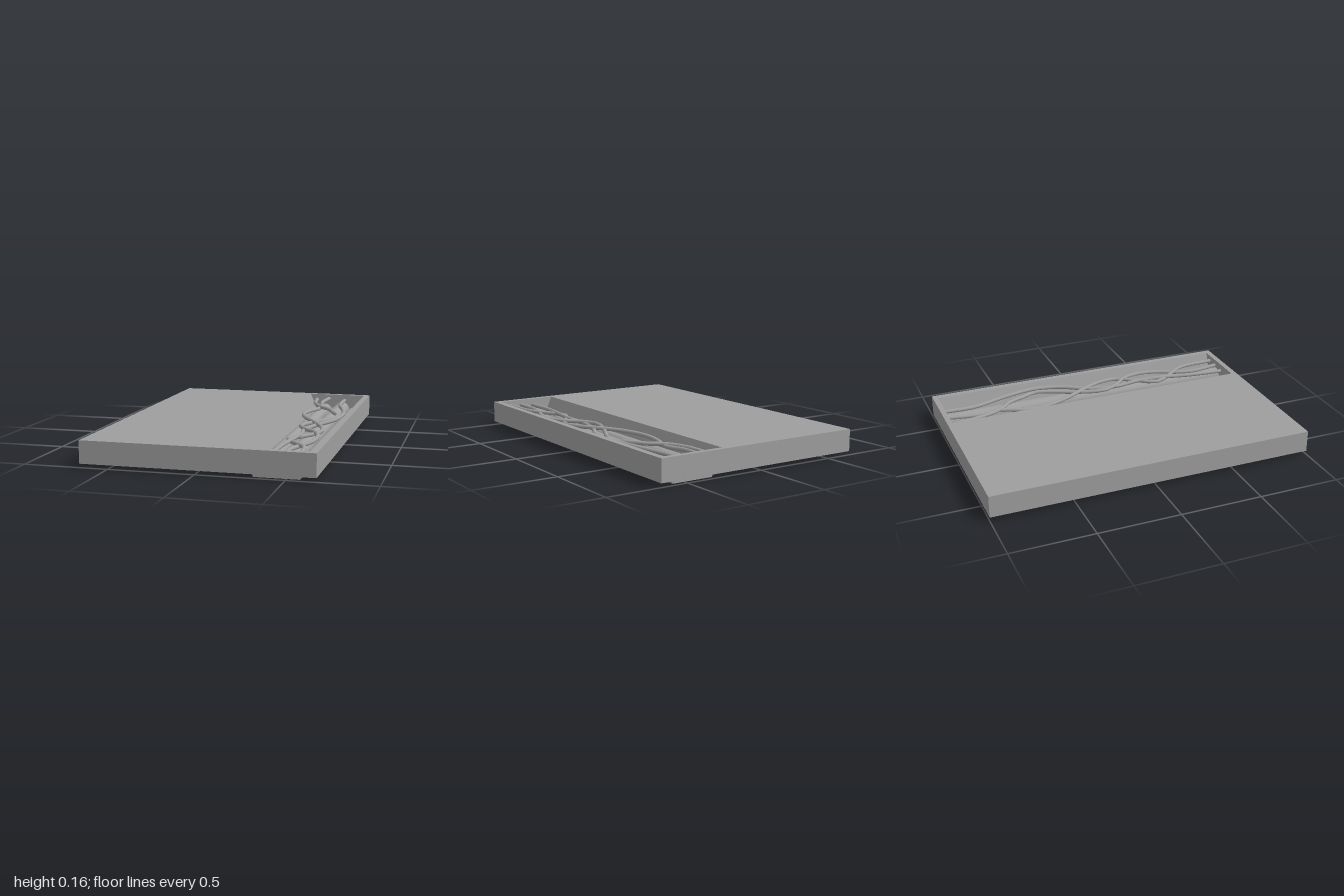
import * as THREE from 'three';

const material = new THREE.MeshStandardMaterial({ color: 0x9e9e9e, side: THREE.DoubleSide });

const TOP = 0.155, RIM = 0.0225, HALF_X = 0.667;
const BACK = -0.968, FRONT = 0.966;            // ends of the trough
const OPEN = [0.253, 0.63], FLOOR = [0.317, 0.573]; // trough width at the top and at the floor

function add(group, name, geometry) {
  const mesh = new THREE.Mesh(geometry, material);
  mesh.name = name;
  group.add(mesh);
  return mesh;
}

// Box without some of its faces (0 +x, 1 -x, 2 +y, 3 -y, 4 +z, 5 -z)
function openBox(w, h, d, removed) {
  const geometry = new THREE.BoxGeometry(w, h, d);
  const index = Array.from(geometry.index.array);
  geometry.setIndex(index.filter((_, i) => !removed.includes(Math.floor(i / 6))));
  geometry.clearGroups();
  return geometry;
}

// Flat top with the long slot cut out of it
function topGeometry() {
  const rect = (path, x0, x1, z0, z1) => path.moveTo(x0, -z1).lineTo(x1, -z1).lineTo(x1, -z0).lineTo(x0, -z0).closePath();
  const shape = new THREE.Shape();
  rect(shape, -HALF_X, HALF_X, -1, 1);
  const slot = new THREE.Path();
  rect(slot, OPEN[0], OPEN[1], BACK, FRONT);
  shape.holes.push(slot);
  return new THREE.ShapeGeometry(shape).rotateX(-Math.PI / 2).translate(0, TOP, 0);
}

// Trough with sloping sides, open at the top
function troughGeometry() {
  const geometry = openBox(1, TOP, FRONT - BACK, [2]);
  geometry.translate(0, TOP / 2, (FRONT + BACK) / 2);
  const p = geometry.attributes.position;
  for (let i = 0; i < p.count; i++) {
    const edge = p.getY(i) > TOP / 2 ? OPEN : FLOOR;
    p.setX(i, edge[p.getX(i) > 0 ? 1 : 0]);
  }
  geometry.computeVertexNormals();
  return geometry;
}

export function createModel() {
  const model = new THREE.Group();
  model.name = 'slabWithRootTrough';

  // Slab, hollow underneath
  const walls = add(model, 'slabWalls', openBox(HALF_X * 2, TOP - RIM, 2, [2, 3]));
  walls.position.y = (TOP + RIM) / 2;
  add(model, 'slabTop', topGeometry());
  add(model, 'trough', troughGeometry());

  // Straight thick stems lying on the trough floor: [x, radius]
  const stems = new THREE.Group();
  stems.name = 'thickStems';
  model.add(stems);
  for (const [x, r] of [[0.36, 0.042], [0.415, 0.03], [0.478, 0.05], [0.55, 0.03]]) {
    const length = FRONT - BACK + 0.007;
    const stem = add(stems, 'thickStem', new THREE.CylinderGeometry(r, r, length, 24).rotateX(Math.PI / 2));
    stem.position.set(x, r + 0.004, (FRONT + BACK) / 2 - 0.0035);
  }

  // Thin winding vines above the stems: [x, z] points, with slightly alternating height at the crossings
  const vines = new THREE.Group();
  vines.name = 'vines';
  model.add(vines);
  const paths = [
    [[0.3, -0.965], [0.33, -0.74], [0.39, -0.61], [0.46, -0.54], [0.515, -0.42], [0.555, -0.34], [0.515, -0.21],
      [0.46, -0.1], [0.415, 0.01], [0.4, 0.11], [0.46, 0.22], [0.52, 0.28], [0.56, 0.4], [0.55, 0.53],
      [0.495, 0.67], [0.47, 0.77], [0.485, 0.96]],
    [[0.385, -0.965], [0.365, -0.8], [0.39, -0.63], [0.335, -0.47], [0.33, -0.32], [0.385, -0.16], [0.46, -0.03],
      [0.53, 0.11], [0.545, 0.24], [0.48, 0.35], [0.405, 0.48], [0.465, 0.6], [0.54, 0.71], [0.565, 0.96]],
    [[0.495, -0.965], [0.495, -0.77], [0.55, -0.55], [0.585, -0.34], [0.56, -0.16], [0.48, 0.0], [0.437, 0.19],
      [0.452, 0.35], [0.437, 0.53], [0.41, 0.72], [0.4, 0.96]],
  ];
  paths.forEach((path, k) => {
    const points = path.map(([x, z]) =>
      new THREE.Vector3(x, 0.12 + 0.006 * Math.sin(z * 7 + k * 2.1), z));
    const curve = new THREE.CatmullRomCurve3(points);
    // Few segments along the length keep the slightly kinked look
    add(vines, 'vine', new THREE.TubeGeometry(curve, 32, 0.0125, 10));
    // Flat caps on the cut ends
    for (const end of [points[0], points[points.length - 1]]) {
      add(vines, 'vineEnd', new THREE.CircleGeometry(0.0125, 10)).position.copy(end);
    }
  });

  return model;
}
